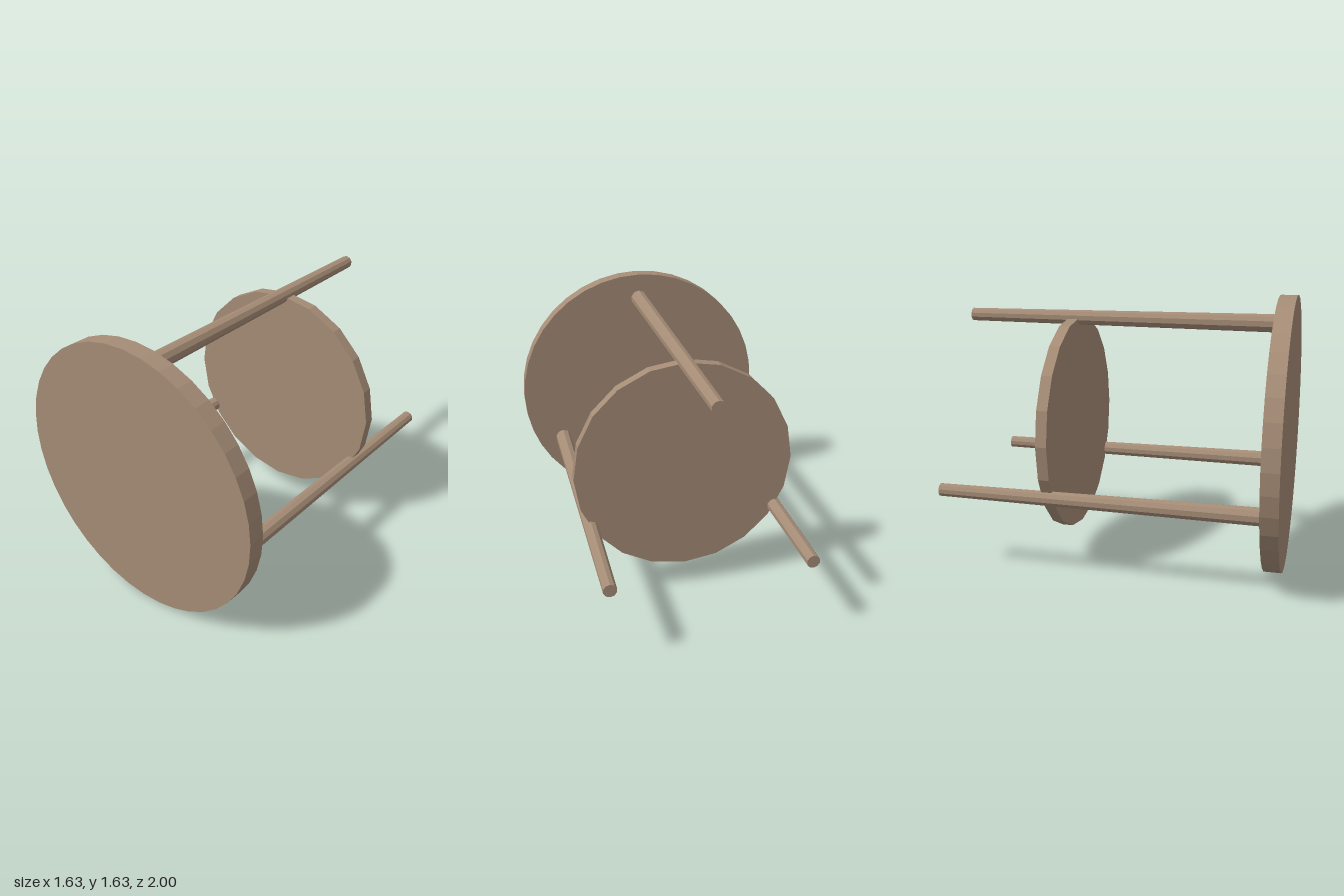
import * as THREE from 'three';

const CENTER_Y = 0.82;

export function createModel() {
  const model = new THREE.Group();
  const wood = new THREE.MeshStandardMaterial({ color: 0xa58c76, flatShading: true });

  // Cylinder lying along z, from zBack to zFront
  function rod(name, rFront, rBack, zBack, zFront, sides, x = 0, y = CENTER_Y) {
    const geometry = new THREE.CylinderGeometry(rFront, rBack, zFront - zBack, sides);
    geometry.rotateX(Math.PI / 2);
    const mesh = new THREE.Mesh(geometry, wood);
    mesh.name = name;
    mesh.position.set(x, y, (zFront + zBack) / 2);
    model.add(mesh);
  }

  // Round seat and the smaller shelf between the legs
  rod('seat', 0.816, 0.816, 0.9, 1, 40);
  rod('shelf', 0.653, 0.653, -0.366, -0.301, 20);

  // Three tapered legs, evenly spaced on the shelf's rim
  for (let i = 0; i < 3; i++) {
    const angle = Math.PI / 2 + (i * Math.PI * 2) / 3;
    rod('leg' + (i + 1), 0.053, 0.039, -1, 0.9, 10,
      0.653 * Math.cos(angle), CENTER_Y + 0.653 * Math.sin(angle));
  }
  return model;
}
